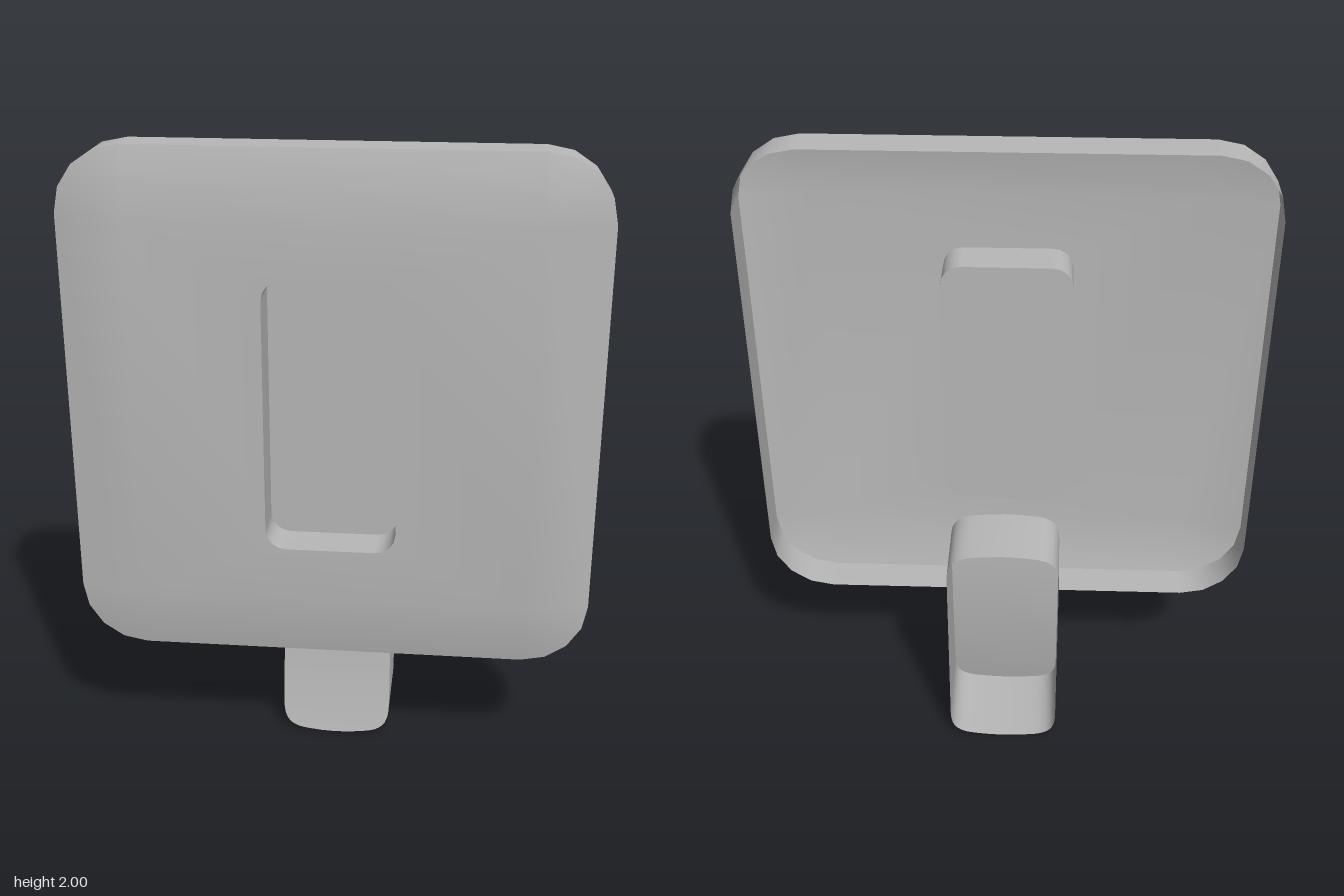
import * as THREE from 'three';
import { mergeVertices } from 'three/addons/utils/BufferGeometryUtils.js';

// Rounded rectangle as a counter-clockwise loop of points, four steps per corner
function roundedLoop(halfW, halfH, radius, cy, z) {
  const points = [];
  for (let corner = 0; corner < 4; corner++) {
    const sx = corner === 0 || corner === 3 ? 1 : -1;
    const sy = corner < 2 ? 1 : -1;
    for (let i = 0; i <= 4; i++) {
      const a = (corner + i / 4) * Math.PI / 2;
      points.push(new THREE.Vector3(
        sx * (halfW - radius) + radius * Math.cos(a),
        cy + sy * (halfH - radius) + radius * Math.sin(a), z));
    }
  }
  return points;
}

// Smooth skin through a list of equally long loops (or open rows)
function loft(loops, closed = true) {
  const n = loops[0].length;
  const index = [];
  for (let k = 0; k < loops.length - 1; k++) {
    for (let i = 0; i < (closed ? n : n - 1); i++) {
      const j = (i + 1) % n;
      const a = k * n + i, b = k * n + j, c = b + n, d = a + n;
      index.push(a, b, c, a, c, d);
    }
  }
  let geometry = new THREE.BufferGeometry().setFromPoints(loops.flat());
  geometry.setIndex(index);
  geometry = mergeVertices(geometry, 1e-5);
  geometry.computeVertexNormals();
  return geometry;
}

export function createModel() {
  const model = new THREE.Group();
  const grey = new THREE.MeshStandardMaterial({ color: 0xb8b8b8, side: THREE.DoubleSide });
  grey.name = 'grey';
  const add = (parent, name, geometry) => {
    const mesh = new THREE.Mesh(geometry, grey);
    mesh.name = name;
    parent.add(mesh);
  };

  // Thin wall plate with a bevelled face and a recessed pocket
  const plate = new THREE.Group();
  plate.name = 'plate';
  model.add(plate);
  const cy = 1.2, rimZ = 0.192, faceZ = 0.23, pocketZ = 0.1;
  const rim = z => roundedLoop(0.8, 0.8, 0.2, cy, z);
  const pocket = z => roundedLoop(0.2, 0.427, 0.062, cy, z);
  add(plate, 'plateRim', loft([rim(0.075), rim(rimZ)]));
  add(plate, 'plateFace', loft([rim(rimZ), roundedLoop(0.6, 0.6, 0, cy, faceZ), pocket(faceZ)]));
  add(plate, 'pocketWall', loft([pocket(faceZ), pocket(pocketZ)]));
  add(plate, 'pocketFloor', loft([pocket(pocketZ), roundedLoop(0, 0, 0, cy, pocketZ)]));

  // Lever: a hollow shell, open at the back, with a front that flares at the foot
  const lever = new THREE.Group();
  lever.name = 'lever';
  model.add(lever);
  const height = 0.79, halfW = 0.178;
  const frontZ = y => -0.01 + 0.065 * Math.pow(Math.max(0, 0.6 - y) / 0.6, 2);

  // Right half of the outline, from bottom centre to top centre
  const corner = new THREE.CubicBezierCurve(
    new THREE.Vector2(0.09, 0.006), new THREE.Vector2(0.15, 0.012),
    new THREE.Vector2(halfW, 0.03), new THREE.Vector2(halfW, 0.1)).getPoints(8);
  const foot = [new THREE.Vector2(0, 0), new THREE.Vector2(0.05, 0.002), ...corner];
  const half = [...foot];
  for (let i = 1; i < 12; i++) half.push(new THREE.Vector2(halfW, 0.1 + (height - 0.2) * i / 12));
  half.push(...foot.map(p => new THREE.Vector2(p.x, height - p.y)).reverse());

  const outline = [...half, ...half.slice(1, -1).reverse().map(p => new THREE.Vector2(-p.x, p.y))];
  const backLoop = outline.map(p => new THREE.Vector3(p.x, p.y, -0.23));
  const frontLoop = outline.map(p => new THREE.Vector3(p.x, p.y, frontZ(p.y)));
  add(lever, 'leverWall', loft([backLoop, frontLoop]));
  const rows = half.map(p => [-p.x, p.x].map(x => new THREE.Vector3(x, p.y, frontZ(p.y))));
  add(lever, 'leverFront', loft(rows, false));

  return model;
}
